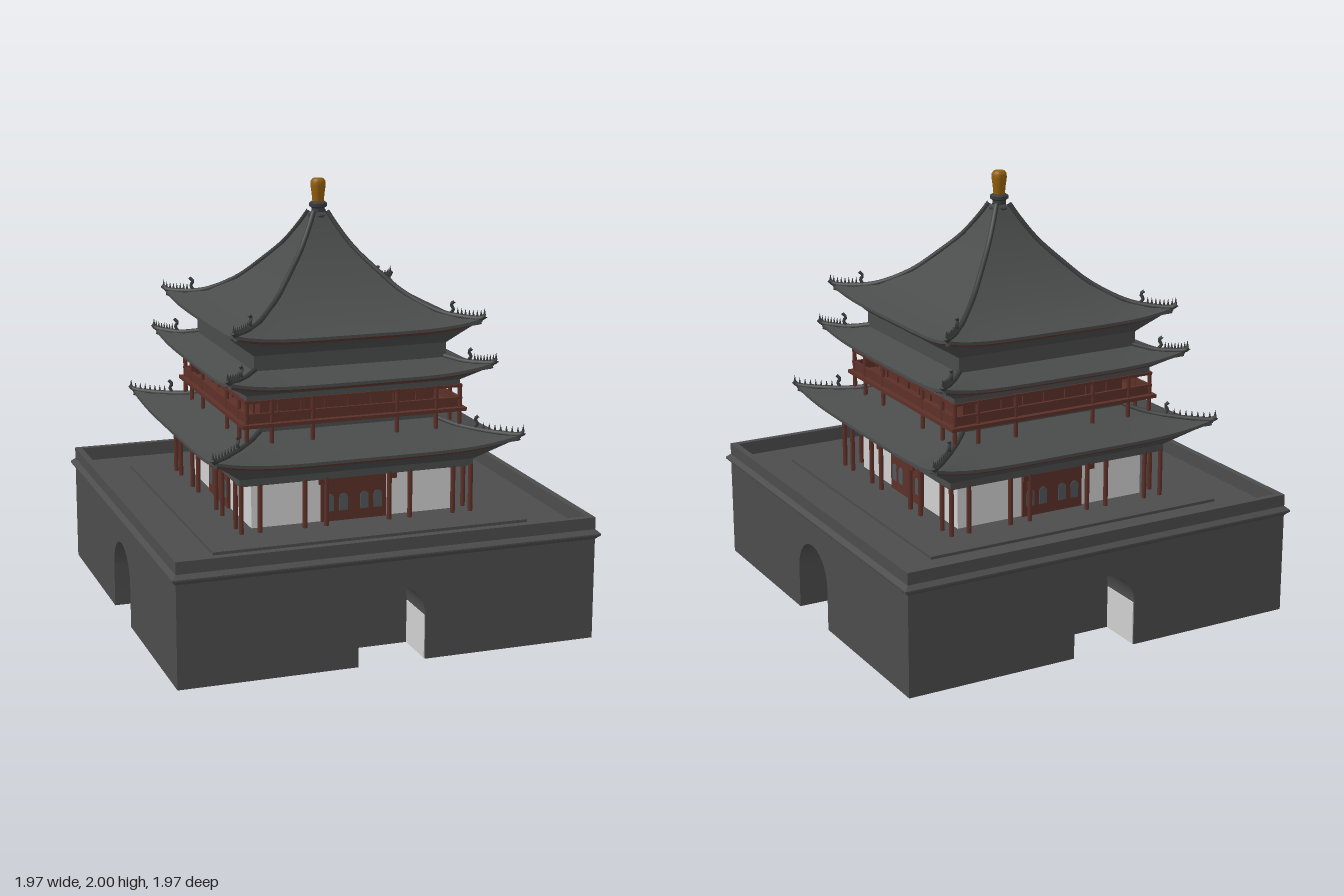
import * as THREE from 'three';
import { toCreasedNormals } from 'three/addons/utils/BufferGeometryUtils.js';

const mat = (name, color) => Object.assign(new THREE.MeshStandardMaterial({ color }), { name });

export function createModel() {
  const brick = mat('grey brick', 0x4c4c4c);
  const tile = mat('grey roof tile', 0x4a4b4b);
  const ridgeMat = mat('dark ridge tile', 0x393a3a);
  const red = mat('red timber', 0x5c3028);
  const white = mat('white plaster', 0xcfcfcf);
  const lattice = mat('lattice grey', 0x50565a);
  const gold = mat('gold', 0x925e0c);

  const model = new THREE.Group();
  const pavilion = new THREE.Group();
  pavilion.name = 'pavilion';
  pavilion.position.z = -0.018;
  model.add(pavilion);

  const add = (parent, name, geo, material, x = 0, y = 0, z = 0) => {
    const m = new THREE.Mesh(geo, material);
    m.name = name;
    m.position.set(x, y, z);
    parent.add(m);
    return m;
  };
  const box = (parent, name, material, w, y0, y1, d, x = 0, z = 0) =>
    add(parent, name, new THREE.BoxGeometry(w, y1 - y0, d), material, x, (y0 + y1) / 2, z);
  // Repeat a part on all four sides
  const fourSides = (parent, name, build) => {
    for (let i = 0; i < 4; i++) {
      const g = new THREE.Group();
      g.name = name;
      g.rotation.y = i * Math.PI / 2;
      build(g, i);
      parent.add(g);
    }
  };
  // Square loft: rings of [halfWidth, height, cornerLift]
  const loft = (rings, n = 20) => {
    const pos = [];
    const point = ([h, y, lift = 0], u, side) => {
      const k = Math.abs(u) ** 5, r = h + lift * 0.35 * k;
      return new THREE.Vector3(u * r, y + lift * k, r)
        .applyAxisAngle(new THREE.Vector3(0, 1, 0), side * Math.PI / 2);
    };
    for (let s = 0; s < 4; s++) for (let j = 0; j < rings.length - 1; j++) for (let i = 0; i < n; i++) {
      const u = -1 + 2 * i / n, w = -1 + 2 * (i + 1) / n;
      const a = point(rings[j], u, s), b = point(rings[j], w, s);
      const c = point(rings[j + 1], w, s), d = point(rings[j + 1], u, s);
      for (const p of [a, b, c, a, c, d]) pos.push(p.x, p.y, p.z);
    }
    const g = new THREE.BufferGeometry();
    g.setAttribute('position', new THREE.Float32BufferAttribute(pos, 3));
    return toCreasedNormals(g, 0.5);
  };

  // Masonry base with an arched recess in each side
  const B = 0.965, D = 0.22, A = 0.155, floorY = 0.5;
  box(model, 'baseCore', brick, 2 * (B - D), 0, floorY, 2 * (B - D));
  fourSides(model, 'baseSide', (g, i) => {
    const half = i % 2 ? B - D : B;
    const s = new THREE.Shape();
    s.moveTo(-half, 0);
    s.lineTo(-A, 0);
    s.lineTo(-A, 0.2);
    s.absarc(0, 0.2, A, Math.PI, 0, true);
    s.lineTo(A, 0);
    s.lineTo(half, 0);
    s.lineTo(half, floorY);
    s.lineTo(-half, floorY);
    const geo = new THREE.ExtrudeGeometry(s, { depth: D, bevelEnabled: false, curveSegments: 20 });
    add(g, 'archedWall', toCreasedNormals(geo, 0.5), brick, 0, 0, B - D);
    box(g, 'archPlaster', white, 0.004, 0.002, 0.2, D - 0.01, A - 0.002, B - D / 2);
    box(g, 'parapet', brick, 2 * (i % 2 ? B - 0.03 : B), floorY, 0.565, 0.03, 0, B - 0.015);
  });
  add(model, 'baseCornice', loft([[B, 0.465], [0.985, 0.485], [0.985, 0.492], [B, 0.51]], 1), brick);
  box(model, 'plinth', brick, 1.475, floorY, 0.513, 1.475);

  // Ground floor: plaster walls, doors, colonnade
  box(pavilion, 'groundWalls', white, 0.96, 0.513, 0.75, 0.96);
  fourSides(pavilion, 'groundSide', g => {
    box(g, 'doorPanel', red, 0.31, 0.513, 0.74, 0.02, 0, 0.483);
    for (const x of [-0.115, -0.05, 0.05, 0.115]) {
      const s = new THREE.Shape();
      s.moveTo(-0.02, 0);
      s.lineTo(0.02, 0);
      s.lineTo(0.02, 0.06);
      s.absarc(0, 0.06, 0.02, 0, Math.PI);
      add(g, 'doorLattice', new THREE.ExtrudeGeometry(s, { depth: 0.004, bevelEnabled: false, curveSegments: 6 }),
        lattice, x, 0.56, 0.492);
    }
    for (const x of [-0.46, -0.25, -0.15, 0.15, 0.25, 0.46, 0.547])
      add(g, 'groundColumn', new THREE.CylinderGeometry(0.011, 0.011, 0.225, 10), red, x, 0.625, 0.547);
    for (const x of [-0.165, 0.165]) box(g, 'doorBracket', red, 0.04, 0.705, 0.73, 0.012, x, 0.547);
  });

  // Upper floor: timber walls, balcony, railing
  box(pavilion, 'upperSkirt', tile, 0.84, 0.88, 0.985, 0.84);
  box(pavilion, 'upperWalls', red, 0.83, 0.985, 1.12, 0.83);
  box(pavilion, 'balconyFloor', red, 1.06, 0.982, 0.998, 1.06);
  fourSides(pavilion, 'upperSide', g => {
    box(g, 'railPanel', red, 1.0, 1.0, 1.035, 0.008, 0, 0.505);
    box(g, 'railTop', red, 1.03, 1.035, 1.044, 0.014, 0, 0.505);
    box(g, 'upperLintel', red, 1.03, 1.09, 1.102, 0.014, 0, 0.505);
    for (const x of [-0.39, -0.2, 0.2, 0.39, 0.505])
      add(g, 'upperColumn', new THREE.CylinderGeometry(0.01, 0.01, 0.2, 10), red, x, 1.005, 0.505);
    for (let i = -3; i <= 3; i++) box(g, 'wallPost', red, 0.012, 0.998, 1.1, 0.012, i * 0.11, 0.418);
  });

  // Roof tier: soffit, red rafter band, tiles, hips with small ridge figures
  const roof = (name, lower, h, y, lift, upper, figureSpan) => {
    const g = new THREE.Group();
    g.name = name;
    pavilion.add(g);
    const bandLow = [h - 0.03, y - 0.022, lift * 0.9], bandHigh = [h - 0.02, y - 0.008, lift * 0.95];
    const eave = [h, y + 0.008, lift];
    add(g, 'soffit', loft([...lower, bandLow]), tile);
    add(g, 'rafterBand', loft([bandLow, bandHigh]), red);
    add(g, 'tiles', loft([bandHigh, [h, y - 0.006, lift], eave, ...upper]), tile);
    const corner = ([r, ry, l = 0]) => {
      const q = r + l * 0.35;
      return new THREE.Vector3(q, ry + l + 0.004, q);
    };
    const tip = corner(eave);
    const path = new THREE.CatmullRomCurve3([
      tip.clone().add(new THREE.Vector3(0.012, 0.014, 0.012)), tip, ...upper.map(corner)]);
    const total = path.getLength();
    fourSides(g, 'hip', side => {
      add(side, 'hipRidge', new THREE.TubeGeometry(path, 40, 0.012, 6), ridgeMat);
      const beam = add(side, 'hipRafter', new THREE.BoxGeometry(0.018, 0.022, 0.13), ridgeMat,
        tip.x - 0.05, tip.y - 0.034, tip.z - 0.05);
      beam.rotation.order = 'YXZ';
      beam.rotation.set(-0.25, Math.PI / 4, 0);
      for (let i = 0; i < 8; i++) {
        const p = path.getPointAt((0.01 + i * figureSpan / 8) / total);
        add(side, 'ridgeFigure', new THREE.ConeGeometry(0.007, 0.034, 5), ridgeMat, p.x, p.y + 0.022, p.z);
      }
      // Curling horn behind the row of figures
      const p = path.getPointAt((figureSpan + 0.03) / total);
      const horn = new THREE.CatmullRomCurve3([[0, 0], [0.012, 0.025], [0.004, 0.045], [0.016, 0.062]]
        .map(([a, b]) => new THREE.Vector3(a, b, a)));
      add(side, 'ridgeHorn', new THREE.TubeGeometry(horn, 8, 0.008, 5), ridgeMat, p.x, p.y, p.z);
    });
  };
  roof('lowerRoof', [[0.48, 0.73], [0.555, 0.73], [0.555, 0.762]], 0.7, 0.845, 0.045,
    [[0.64, 0.868, 0.025], [0.56, 0.89, 0.008], [0.49, 0.91], [0.42, 0.935]], 0.22);
  roof('middleRoof', [[0.41, 1.1], [0.505, 1.1], [0.505, 1.125]], 0.605, 1.168, 0.04,
    [[0.56, 1.188, 0.02], [0.51, 1.203, 0.006], [0.445, 1.225]], 0.12);
  roof('upperRoof', [[0.455, 1.2], [0.455, 1.29], [0.5, 1.335]], 0.565, 1.37, 0.035,
    [[0.5, 1.393, 0.018], [0.42, 1.425, 0.004], [0.3, 1.503], [0.21, 1.593], [0.125, 1.69],
      [0.065, 1.785], [0.033, 1.845]], 0.15);

  // Finial
  const lathe = pts => toCreasedNormals(
    new THREE.LatheGeometry(pts.map(([r, y]) => new THREE.Vector2(r, y)), 24).toNonIndexed(), 0.6);
  add(pavilion, 'finialCollar', lathe([[0.046, 1.79], [0.046, 1.83], [0.032, 1.84], [0.03, 1.862],
    [0.042, 1.87], [0.042, 1.884], [0.03, 1.892], [0, 1.892]]), ridgeMat);
  add(pavilion, 'finialTop', lathe([[0.026, 1.89], [0.03, 1.93], [0.035, 1.965], [0.034, 1.985],
    [0.025, 1.997], [0, 2]]), gold);

  return model;
}
